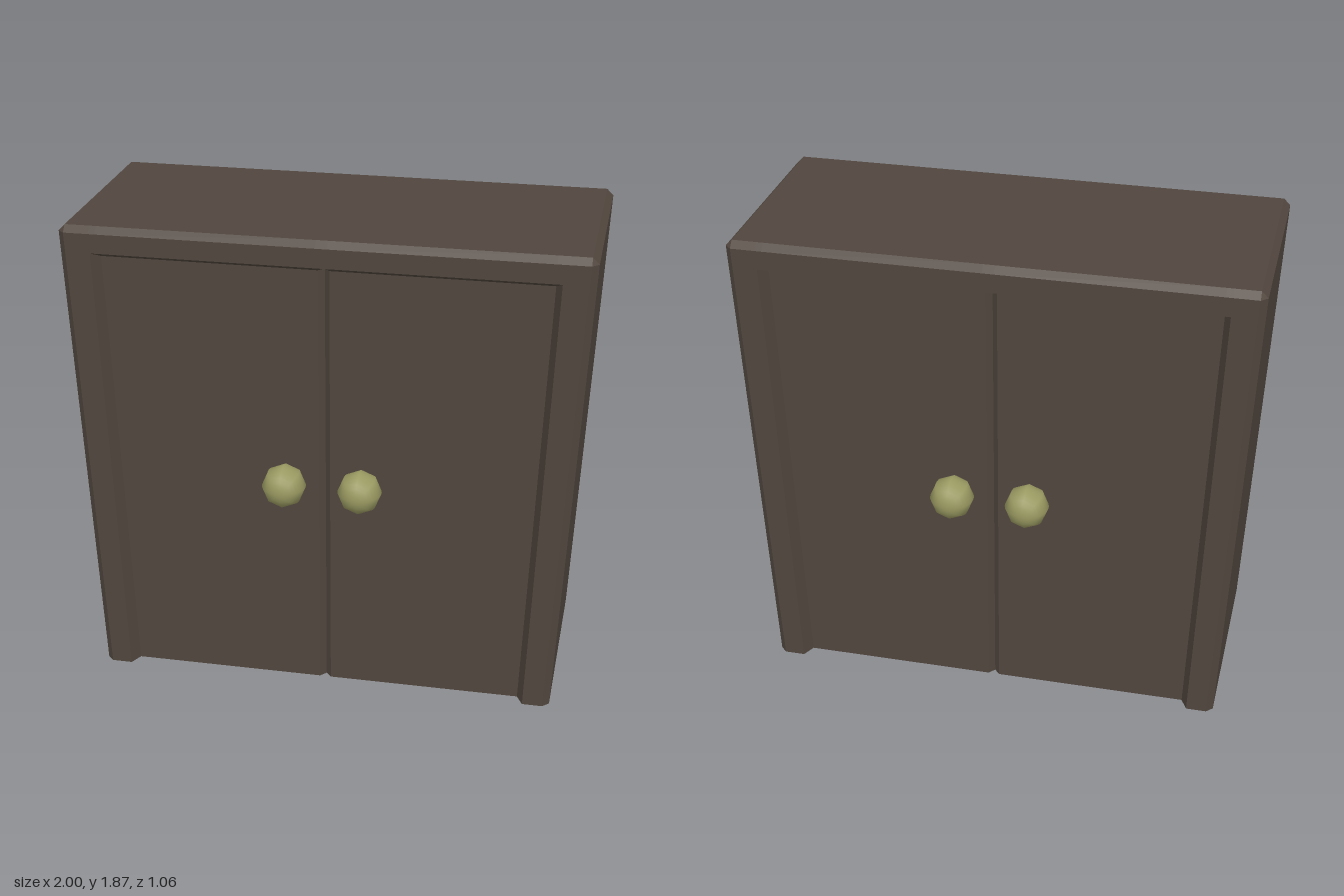
import * as THREE from 'three';

const wood = new THREE.MeshStandardMaterial({ color: 0x51463e, flatShading: true, side: THREE.DoubleSide });
const brass = new THREE.MeshStandardMaterial({ color: 0x9a9a62 });

const FRONT = 0.44;   // face of the frame
const DOOR = 0.39;    // face of the recessed doors
const GROOVE = 0.365; // bottom of the slit between the doors
const EDGE = 0.415;   // chamfered edge

// Right front quarter of a section, from the middle out to the side, as [x, z].
// The walls lean outwards with height.
function quarter(y) {
  const open = 0.805 + 0.04 * y;
  const side = 0.91 + 0.0488 * y;
  return [[0, GROOVE], [0.022, DOOR], [open - 0.025, DOOR], [open, FRONT], [side - 0.025, FRONT], [side, EDGE]];
}

// Mirror a quarter into a closed loop, counter-clockwise seen from above
function section(y, q) {
  const rev = [...q].reverse();
  const loop = [
    ...q,
    ...rev.map(([x, z]) => [x, -z]),
    ...q.slice(1).map(([x, z]) => [-x, -z]),
    ...rev.slice(0, -1).map(([x, z]) => [-x, z]),
  ];
  return loop.map(([x, z]) => new THREE.Vector3(x, y, z));
}

// Skin the sections and close the top; the underside stays open
function loft(sections) {
  const pts = [];
  for (let s = 0; s < sections.length - 1; s++) {
    const a = sections[s], b = sections[s + 1];
    for (let i = 0; i < a.length; i++) {
      const j = (i + 1) % a.length;
      pts.push(a[i], a[j], b[j], a[i], b[j], b[i]);
    }
  }
  const top = sections[sections.length - 1];
  const centre = new THREE.Vector3(0, top[0].y, 0);
  top.forEach((p, i) => pts.push(centre, p, top[(i + 1) % top.length]));
  const geometry = new THREE.BufferGeometry().setFromPoints(pts);
  geometry.computeVertexNormals();
  return geometry;
}

export function createModel() {
  const group = new THREE.Group();
  group.name = 'cabinet';

  // Body: frame, recessed double doors on both faces, chamfered top
  const head = quarter(1.77);
  const lintel = head.map(([x, z], i) => (i < 2 ? [x, FRONT] : i === 2 ? [head[3][0], FRONT] : [x, z]));
  const shoulder = quarter(1.845).map(([x, z], i) => [x, i < 5 ? FRONT : z]);
  const lid = shoulder.map(([x]) => [Math.min(x, 0.975), EDGE]);
  const body = new THREE.Mesh(loft([
    section(0, quarter(0)),
    section(1.745, quarter(1.745)),
    section(1.77, lintel),
    section(1.845, shoulder),
    section(1.87, lid),
  ]), wood);
  body.name = 'cabinetBody';
  group.add(body);

  // Door knobs, one pair on each face
  const knobGeometry = new THREE.SphereGeometry(0.085, 8, 16).rotateX(Math.PI / 2);
  for (const face of [1, -1]) {
    for (const side of [1, -1]) {
      const knob = new THREE.Mesh(knobGeometry, brass);
      knob.name = (face > 0 ? 'front' : 'back') + (side > 0 ? 'Left' : 'Right') + 'Knob';
      knob.position.set(side * 0.148, 0.88, face * 0.445);
      group.add(knob);
    }
  }
  return group;
}
